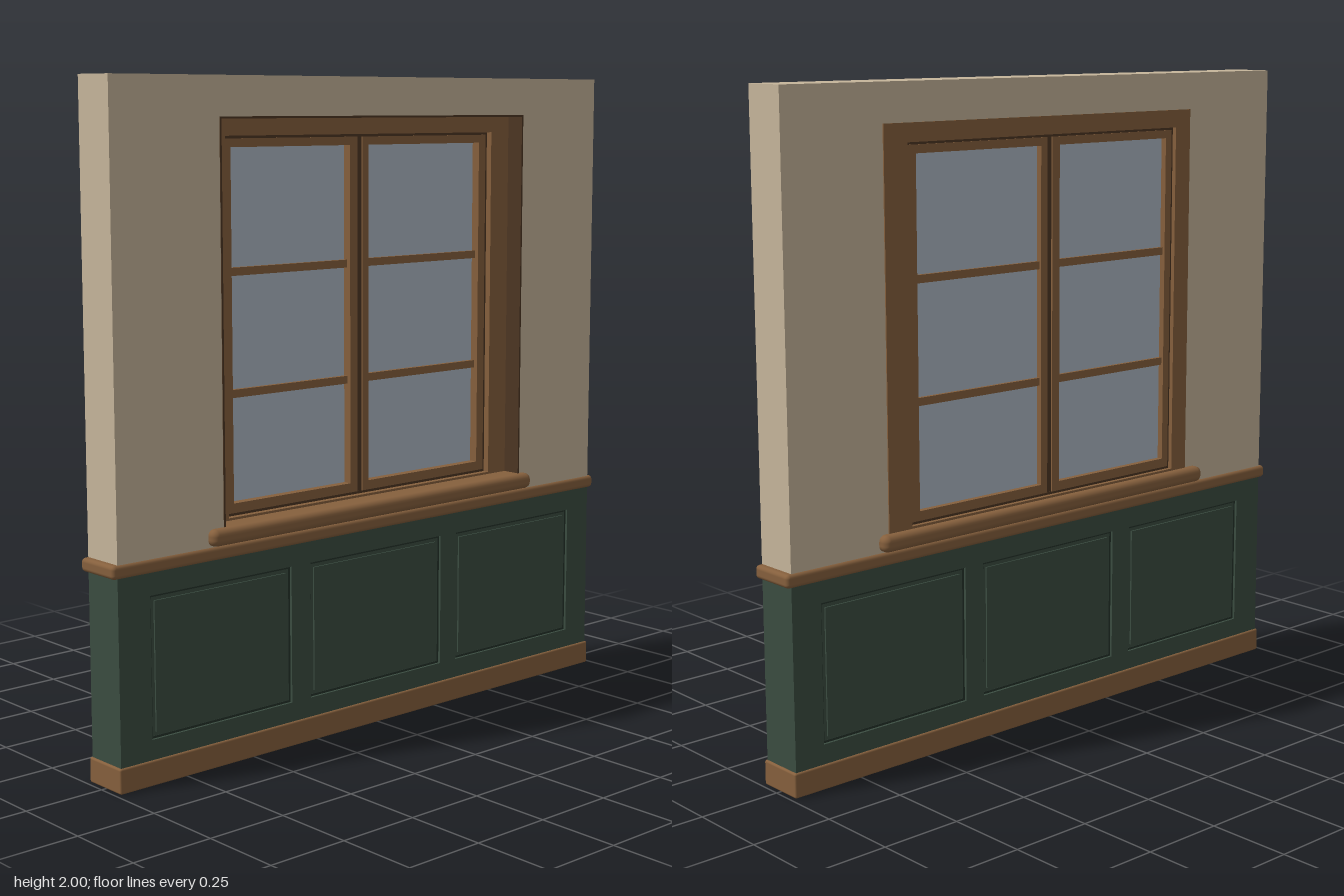
import * as THREE from 'three';
import { RoundedBoxGeometry } from 'three/addons/geometries/RoundedBoxGeometry.js';

const material = (name, color) => {
  const m = new THREE.MeshStandardMaterial({ color });
  m.name = name;
  return m;
};

// Rectangular sheet with rectangular holes, extruded from z0 to z1. Rectangles are [x0, x1, y0, y1].
function sheet([x0, x1, y0, y1], holes, z0, z1) {
  const corners = (a, b, c, d) => [[a, c], [b, c], [b, d], [a, d]].map(([x, y]) => new THREE.Vector2(x, y));
  const shape = new THREE.Shape(corners(x0, x1, y0, y1));
  for (const h of holes) shape.holes.push(new THREE.Path(corners(...h).reverse()));
  return new THREE.ExtrudeGeometry(shape, { depth: z1 - z0, bevelEnabled: false }).translate(0, 0, z0);
}

function box([x0, x1, y0, y1], z0, z1, radius = 0) {
  const size = [x1 - x0, y1 - y0, z1 - z0];
  const g = radius ? new RoundedBoxGeometry(...size, 3, radius) : new THREE.BoxGeometry(...size);
  return g.translate((x0 + x1) / 2, (y0 + y1) / 2, (z0 + z1) / 2);
}

const inset = ([x0, x1, y0, y1], d) => [x0 + d, x1 - d, y0 + d, y1 - d];

export function createModel() {
  const plaster = material('plaster', 0xc6b59b);
  const wood = material('wood', 0x86603d);
  const darkWood = material('dark wood', 0x4d3623);
  const green = material('green paint', 0x3b4d41);
  const darkGreen = material('dark green groove', 0x25322a);
  const glass = material('glass', 0xafb9c5);

  const model = new THREE.Group();
  model.name = 'wallWithWindow';
  const add = (parent, name, geometry, mat) => {
    const mesh = new THREE.Mesh(geometry, mat);
    mesh.name = name;
    parent.add(mesh);
    return mesh;
  };
  const group = (name) => {
    const g = new THREE.Group();
    g.name = name;
    model.add(g);
    return g;
  };

  // Plaster wall around the window opening
  const opening = [-0.605, 0.635, 0.69, 1.885];
  add(model, 'plasterWall', sheet([-0.98, 0.98, 0.64, 2], [opening], -0.07, 0.07), plaster);

  // Panelled wainscot: core, pierced face boards and raised fields on both sides
  const wainscot = group('wainscot');
  const face = [-0.98, 0.98, 0.06, 0.635];
  const panels = [[-0.87, -0.35, 0.135, 0.555], [-0.275, 0.275, 0.135, 0.555], [0.345, 0.88, 0.135, 0.555]];
  add(wainscot, 'wainscotCore', box(face, -0.06, 0.06), green);
  for (const side of [1, -1]) {
    const range = (a, b) => (side > 0 ? [a, b] : [-b, -a]);
    add(wainscot, 'faceBoards', sheet(face, panels, ...range(0.06, 0.07)), green);
    for (const p of panels) {
      add(wainscot, 'panelGroove', sheet(p, [inset(p, 0.007)], ...range(0.059, 0.062)), darkGreen);
      add(wainscot, 'panelField', box(inset(p, 0.018), ...range(0.059, 0.065)), green);
    }
  }

  // Base board, dado rail and window sill
  add(model, 'baseBoard', box([-0.987, 0.987, 0, 0.075], -0.076, 0.076, 0.006), wood);
  add(model, 'dadoRail', box([-1, 1, 0.62, 0.66], -0.08, 0.078, 0.012), wood);
  add(model, 'windowSill', box([-0.662, 0.67, 0.663, 0.713], -0.103, 0.1, 0.02), wood);

  // Window frame, set back from the front and nearly flush at the back
  const win = group('window');
  const inner = [-0.54, 0.55, 0.72, 1.83];
  add(win, 'revealLining', sheet(opening, [inset(opening, 0.006)], 0, 0.072), darkWood);
  add(win, 'frame', sheet(opening, [inner], -0.074, 0.012), wood);
  add(win, 'frameGap', sheet(inner, [inset(inner, 0.008)], -0.06, -0.008), darkWood);

  // Two casements, each with a sash, a pane and two glazing bars
  const y0 = 0.728, y1 = 1.822;
  for (const [x0, x1] of [[-0.532, -0.015], [0.005, 0.542]]) {
    const hole = [x0 + 0.026, x1 - 0.03, 0.757, 1.797];
    add(win, 'sash', sheet([x0, x1, y0, y1], [hole], -0.063, -0.006), wood);
    add(win, 'pane', box(hole, -0.044, -0.034), glass);
    for (const y of [1.08, 1.438]) {
      add(win, 'glazingBar', box([hole[0], hole[1], y - 0.012, y + 0.012], -0.055, -0.02), wood);
    }
  }
  // Narrow meeting strip between the casements
  add(win, 'meetingStrip', box([-0.015, 0.005, y0, y1], -0.058, -0.01), darkWood);

  return model;
}
